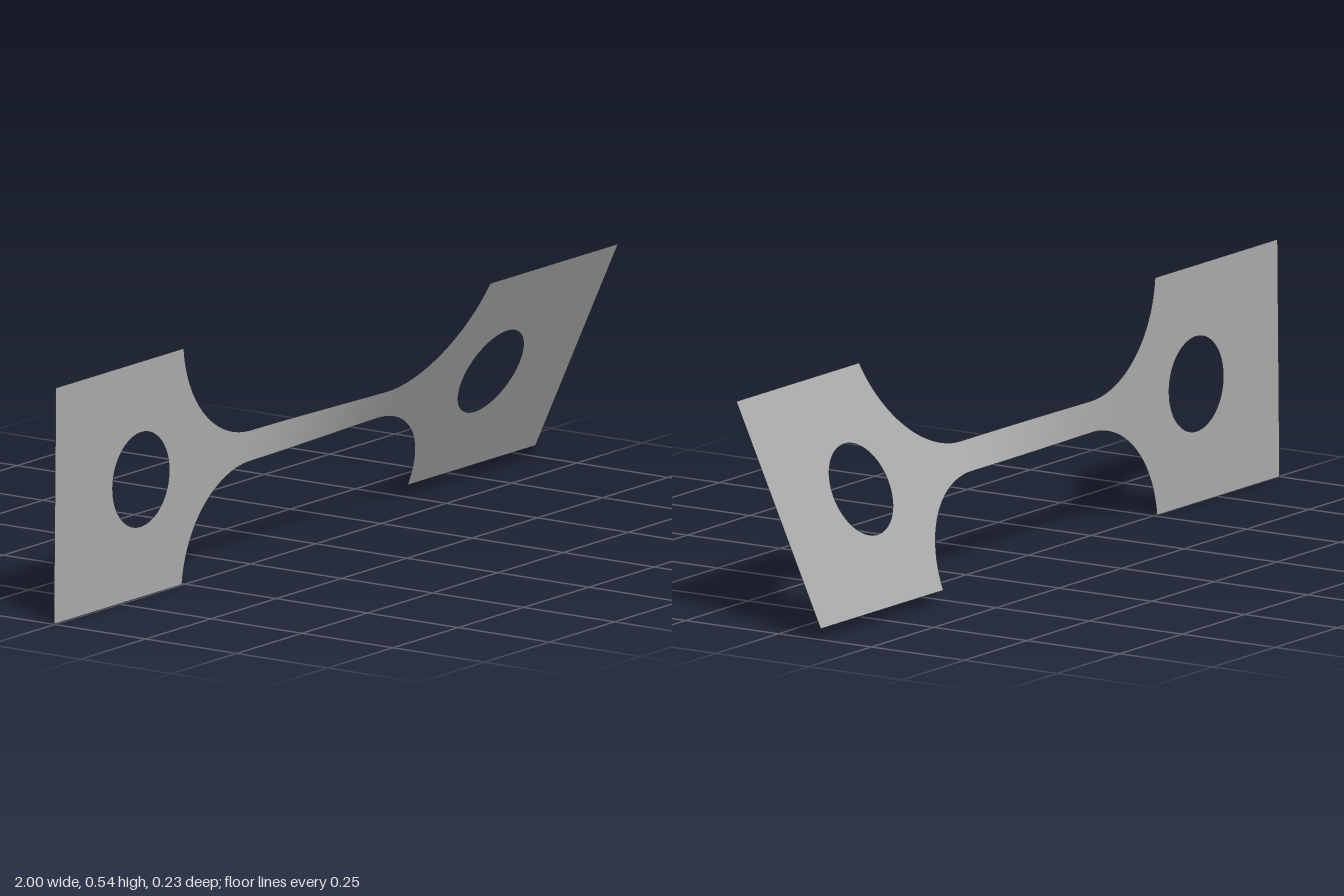
import * as THREE from 'three';

const MID_Y = 0.271;      // height of the long axis
const HALF = 0.271;       // half height of the grip plates
const NECK = 0.036;       // half height of the narrow bar
const R = 0.26;           // fillet radius
const ARC_X = 0.25;       // where the fillets start
const GRIP_X = 0.509;     // where the grip plates start

// Half height of the sheet at x in the waisted part
function halfHeight(x) {
  const d = Math.min(Math.max(Math.abs(x) - ARC_X, 0), R);
  return Math.min(HALF, NECK + R - Math.sqrt(R * R - d * d));
}

// Turn each cross-section about the long axis, mostly within the bar
function twist(geometry) {
  const p = geometry.attributes.position;
  for (let i = 0; i < p.count; i++) {
    const x = p.getX(i), h = p.getY(i);
    const a = 0.01 + 0.422 * THREE.MathUtils.smoothstep(x, -0.36, 0.36);
    p.setXYZ(i, x, MID_Y + h * Math.cos(a), h * Math.sin(a));
  }
  geometry.computeVertexNormals();
  return geometry;
}

export function createModel() {
  const group = new THREE.Group();
  group.name = 'twistedTestStrip';
  const steel = new THREE.MeshStandardMaterial({ color: 0xb0b0b0, side: THREE.DoubleSide });
  steel.name = 'greySteel';

  const add = (name, geometry) => {
    const mesh = new THREE.Mesh(twist(geometry), steel);
    mesh.name = name;
    group.add(mesh);
  };

  // Narrow bar with its flaring fillets
  const bar = new THREE.PlaneGeometry(2, 2, 120, 8);
  const p = bar.attributes.position;
  for (let i = 0; i < p.count; i++) {
    // Even steps in angle crowd the columns towards the steep fillet ends
    const x = GRIP_X * Math.sin(p.getX(i) * Math.PI / 2);
    p.setXY(i, x, p.getY(i) * halfHeight(x));
  }
  add('waistedBar', bar);

  // Grip plates with a round hole
  for (const [name, side] of [['rightGripPlate', -1], ['leftGripPlate', 1]]) {
    const near = side * GRIP_X, far = side;
    const [x0, x1] = [Math.min(near, far), Math.max(near, far)];
    const shape = new THREE.Shape([
      new THREE.Vector2(x0, -HALF), new THREE.Vector2(x1, -HALF),
      new THREE.Vector2(x1, HALF), new THREE.Vector2(x0, HALF),
    ]);
    shape.holes.push(new THREE.Path().absarc(side * 0.67, 0, 0.108, 0, Math.PI * 2, true));
    add(name, new THREE.ShapeGeometry(shape, 32));
  }
  return group;
}
